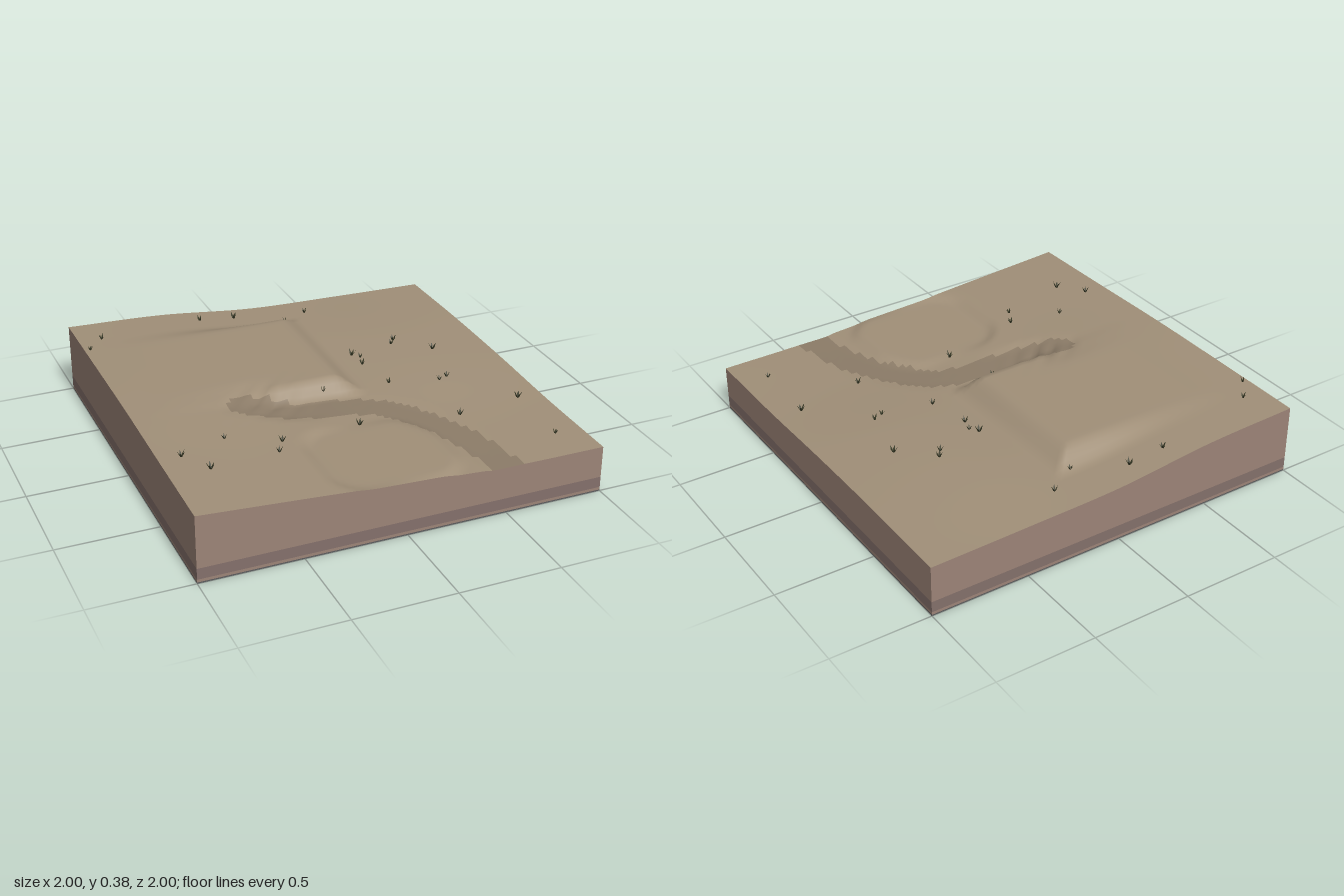
import * as THREE from 'three';
import { mergeGeometries } from 'three/addons/utils/BufferGeometryUtils.js';

const SEG = 72;
const { clamp, lerp, smoothstep } = THREE.MathUtils;
const mat = (color, extra = {}) => new THREE.MeshStandardMaterial({ color, roughness: 1, ...extra });

// Natural ground heights on a coarse grid: rows run back to front, columns left to right
const COARSE = [
  [0.355, 0.335, 0.285, 0.270, 0.260],
  [0.357, 0.340, 0.288, 0.284, 0.264],
  [0.357, 0.335, 0.275, 0.277, 0.256],
  [0.347, 0.316, 0.268, 0.250, 0.239],
  [0.338, 0.305, 0.270, 0.240, 0.235],
];

// Stream centre line: x, z and bed height
const STREAM = [
  [-0.45, 0.13, 0.325], [-0.25, 0.20, 0.287], [0, 0.23, 0.272], [0.17, 0.28, 0.262],
  [0.32, 0.44, 0.252], [0.43, 0.65, 0.244], [0.48, 0.85, 0.239], [0.5, 1.05, 0.237],
];
const streamCurve = new THREE.CatmullRomCurve3(STREAM.map(([x, z, h]) => new THREE.Vector3(x, h, z)));
const streamPoints = streamCurve.getPoints(80);

// Catmull-Rom through five evenly spaced values
function spline(v, t) {
  const i = clamp(Math.floor(t), 0, 3), f = t - i;
  const b = v[i], c = v[i + 1];
  const a = i > 0 ? v[i - 1] : 2 * b - c, d = i < 3 ? v[i + 2] : 2 * c - b;
  return b + 0.5 * f * (c - a + f * (2 * a - 5 * b + 4 * c - d + f * (3 * (b - c) + d - a)));
}

function nearestStream(x, z) {
  let dist = Infinity, bed = 0;
  for (const p of streamPoints) {
    const d = Math.hypot(p.x - x, p.z - z);
    if (d < dist) { dist = d; bed = p.y; }
  }
  return { dist, bed };
}

function height(x, z) {
  let h = spline(COARSE.map((row) => spline(row, (x + 1) * 2)), (z + 1) * 2);

  // levelled pad with rounded corners at the front
  const qx = Math.max(Math.abs(x) - 0.15, 0), qz = Math.max(Math.abs(z - 0.71) - 0.12, 0);
  h = lerp(h, 0.272, 1 - smoothstep(Math.hypot(qx, qz), 0.13, 0.2));

  // stream channel
  const { dist, bed } = nearestStream(x, z);
  h = lerp(h, Math.min(h, bed), 1 - smoothstep(dist, 0.06, 0.12));

  // raised plateau with mitred banks, fading into the hill on the left
  const east = 1 - smoothstep(x, 0.04, 0.2);
  const back = smoothstep(z, -0.78, -0.65);
  const front = 1 - smoothstep(z, 0.05, 0.14);
  const west = smoothstep(x, -1, -0.7);
  const gully = 1 - 0.6 * smoothstep(-x, 0.2, 0.45) * smoothstep(z, -0.08, 0.08);
  h = lerp(h, Math.max(h, 0.354), Math.min(east, back, front) * west * gully);

  // eroded diagonal ribs at the head of the stream
  const g = Math.exp(-(((x + 0.33) / 0.13) ** 2) - ((z - 0.12) / 0.09) ** 2);
  return h + 0.008 * g * Math.sin((x + z) * 50);
}

// Displaced ground, split by cell into soil and darker stream bed
function buildGround(group) {
  const geo = new THREE.PlaneGeometry(2, 2, SEG, SEG).rotateX(-Math.PI / 2);
  const p = geo.attributes.position;
  for (let i = 0; i < p.count; i++) p.setY(i, height(p.getX(i), p.getZ(i)));
  geo.computeVertexNormals();
  const soil = [], bed = [], idx = geo.index.array;
  for (let i = 0; i < idx.length; i += 6) {
    const a = idx[i], b = idx[i + 4];
    const x = (p.getX(a) + p.getX(b)) / 2, z = (p.getZ(a) + p.getZ(b)) / 2;
    (nearestStream(x, z).dist < 0.08 ? bed : soil).push(...idx.slice(i, i + 6));
  }
  for (const [name, list, color] of [['ground', soil, 0xa08f78], ['streamBed', bed, 0x8c7c68]]) {
    const part = geo.clone();
    part.setIndex(list);
    const mesh = new THREE.Mesh(part, mat(color));
    mesh.name = name;
    group.add(mesh);
  }
}

// One soil layer running round all four sides; a null top follows the ground
function buildLayer(name, bottom, top, color) {
  const sides = [0, 1, 2, 3].map((k) => {
    const geo = new THREE.PlaneGeometry(2, 1, top === null ? SEG : 1, 1);
    geo.translate(0, 0, 1).rotateY(k * Math.PI / 2);
    const p = geo.attributes.position;
    for (let i = 0; i < p.count; i++) {
      p.setY(i, p.getY(i) < 0 ? bottom : top ?? height(p.getX(i), p.getZ(i)));
    }
    return geo;
  });
  const mesh = new THREE.Mesh(mergeGeometries(sides), mat(color));
  mesh.name = name;
  return mesh;
}

// Tuft of thin tapered blades leaning outwards
function tuftGeometry() {
  const blades = [];
  for (let k = 0; k < 5; k++) {
    const shape = new THREE.Shape();
    shape.moveTo(-0.004, -0.004);
    shape.lineTo(0.004, -0.004);
    shape.lineTo(0.005, 0.014);
    shape.lineTo(0.001, 0.03 - 0.004 * (k % 2));
    shape.lineTo(-0.003, 0.014);
    blades.push(new THREE.ShapeGeometry(shape).rotateX(0.5).translate(0, 0, 0.003).rotateY(k * Math.PI * 0.4));
  }
  return mergeGeometries(blades);
}

const TUFTS = [
  [-0.97, -0.69], [-0.88, -0.8], [-0.32, -0.89], [-0.13, -0.89], [0.11, -0.76], [0.26, -0.85],
  [-0.89, 0.5], [-0.8, 0.64], [-0.65, 0.4], [-0.45, 0.58], [-0.4, 0.49], [0.02, 0.42],
  [-0.03, 0.1], [0.33, 0.08], [0.29, -0.15], [0.28, -0.26], [0.31, -0.22], [0.52, -0.3],
  [0.55, -0.34], [0.7, -0.18], [0.58, 0.14], [0.63, 0.12], [0.52, 0.48], [0.87, 0.42], [0.86, 0.8],
];

export function createModel() {
  const model = new THREE.Group();
  model.name = 'terrainBlock';
  buildGround(model);

  model.add(
    buildLayer('upperSoil', 0.075, null, 0x9c8477),
    buildLayer('darkSoilBand', 0.02, 0.075, 0x84706b),
    buildLayer('lowerSoil', 0.006, 0.02, 0x9c8477),
    buildLayer('bedrock', 0, 0.006, 0x5c5c5e),
  );

  const underside = new THREE.Mesh(new THREE.PlaneGeometry(2, 2).rotateX(Math.PI / 2), mat(0x5c564e));
  underside.name = 'underside';
  model.add(underside);

  // scattered grass
  const grass = new THREE.Group();
  grass.name = 'grass';
  const blade = tuftGeometry(), green = mat(0x3a3c28, { side: THREE.DoubleSide });
  TUFTS.forEach(([x, z], i) => {
    const tuft = new THREE.Mesh(blade, green);
    tuft.name = 'grassTuft';
    tuft.position.set(x, height(x, z), z);
    tuft.rotation.y = i * 2.4;
    tuft.scale.setScalar(0.85 + 0.12 * (i % 4));
    grass.add(tuft);
  });
  model.add(grass);
  return model;
}
